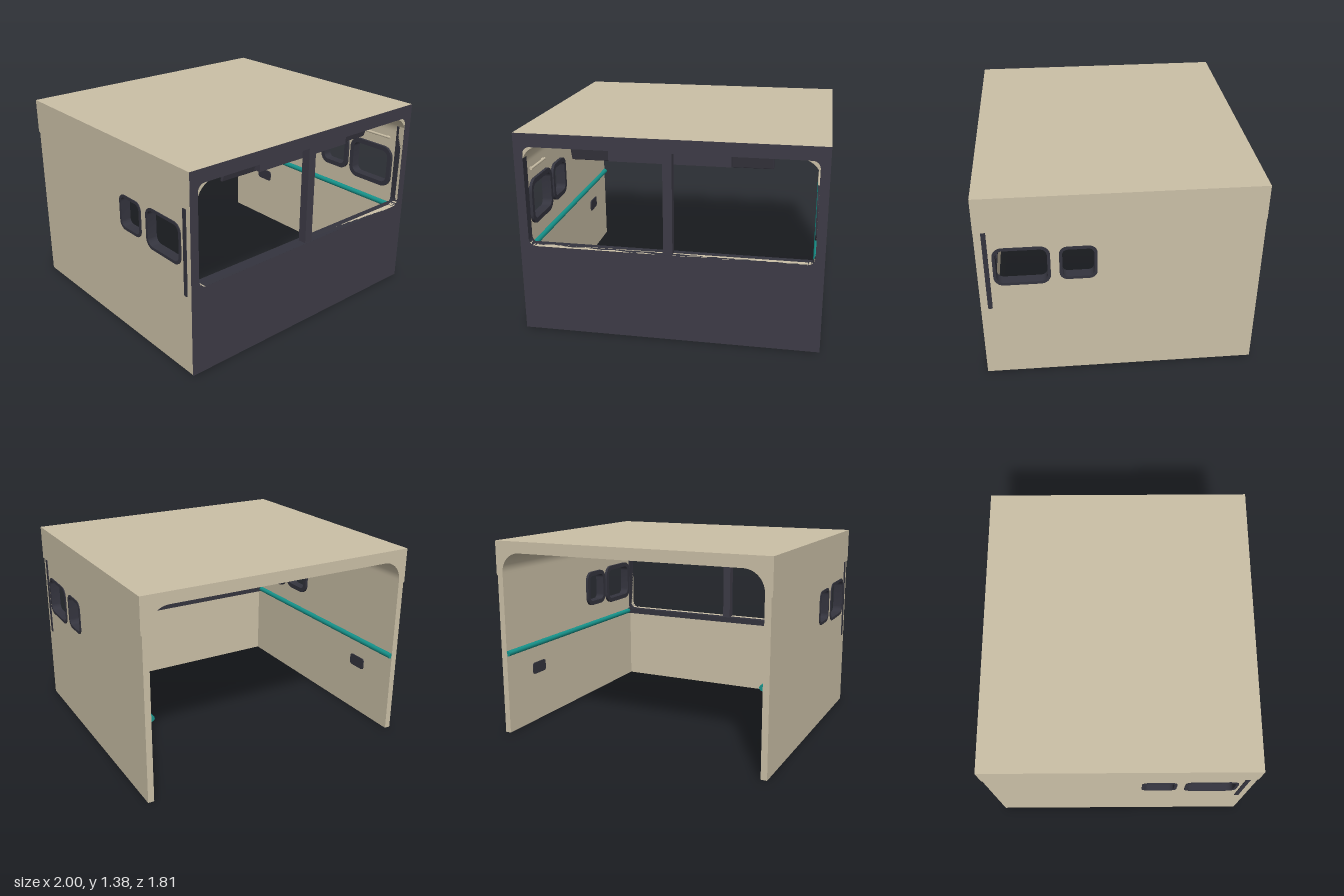
import * as THREE from 'three';
import { toCreasedNormals } from 'three/addons/utils/BufferGeometryUtils.js';
import { RoundedBoxGeometry } from 'three/addons/geometries/RoundedBoxGeometry.js';

const mat = (name, color) => {
  const m = new THREE.MeshStandardMaterial({ color });
  m.name = name;
  return m;
};
const beige = mat('beige shell', 0xcabfa6);
const slate = mat('slate front', 0x3d3b46);
const trim = mat('dark trim', 0x34343e);
const teal = mat('teal rail', 0x16938b);

// Rounded rectangle from its limits, as a Shape or a hole Path
function rounded(a0, a1, b0, b1, r, Type = THREE.Shape) {
  const p = new Type();
  p.moveTo(a0 + r, b0);
  p.lineTo(a1 - r, b0);
  p.absarc(a1 - r, b0 + r, r, -Math.PI / 2, 0);
  p.absarc(a1 - r, b1 - r, r, 0, Math.PI / 2);
  p.absarc(a0 + r, b1 - r, r, Math.PI / 2, Math.PI);
  p.absarc(a0 + r, b0 + r, r, Math.PI, Math.PI * 1.5);
  return p;
}

function rect(a0, a1, b0, b1) {
  return new THREE.Shape([[a0, b0], [a1, b0], [a1, b1], [a0, b1]].map(([a, b]) => new THREE.Vector2(a, b)));
}

function withHoles(shape, ...holes) {
  shape.holes.push(...holes);
  return shape;
}

function extrude(shape, depth, curveSegments = 6) {
  return toCreasedNormals(new THREE.ExtrudeGeometry(shape, { depth, bevelEnabled: false, curveSegments }), 0.6);
}

export function createModel() {
  const model = new THREE.Group();
  model.name = 'cabShell';

  const add = (name, geometry, material, x = 0, y = 0, z = 0) => {
    const m = new THREE.Mesh(geometry, material);
    m.name = name;
    m.position.set(x, y, z);
    model.add(m);
    return m;
  };
  const box = (name, material, x0, x1, y0, y1, z0, z1) =>
    add(name, new THREE.BoxGeometry(x1 - x0, y1 - y0, z1 - z0), material, (x0 + x1) / 2, (y0 + y1) / 2, (z0 + z1) / 2);
  // Extrudes an outline drawn in (z, y) between two distances from the centre
  const sideSlab = (name, shape, material, inner, outer, side) => {
    const m = add(name, extrude(shape, outer - inner), material, side > 0 ? outer : -inner);
    m.rotation.y = -Math.PI / 2;
  };

  // Roof with coved inner corners
  const roof = new THREE.Shape();
  roof.moveTo(-1, 1.14);
  roof.lineTo(-0.95, 1.14);
  roof.lineTo(-0.95, 1.16);
  roof.absarc(-0.81, 1.16, 0.14, Math.PI, Math.PI / 2, true);
  roof.absarc(0.81, 1.16, 0.14, Math.PI / 2, 0, true);
  roof.lineTo(0.95, 1.14);
  roof.lineTo(1, 1.14);
  roof.lineTo(1, 1.38);
  roof.lineTo(-1, 1.38);
  add('roof', extrude(roof, 1.809, 12), beige, 0, 0, -0.905);

  // Front wall, painted face and windscreen frame
  const screen = [-0.94, 0.94, 0.61, 1.29, 0.05];
  add('frontWall', extrude(withHoles(rect(-0.96, 0.96, 0, 1.32), rounded(...screen, THREE.Path)), 0.044), beige, 0, 0, 0.86);
  add('frontPanel', new THREE.ShapeGeometry(withHoles(rect(-1, 1, 0, 1.38), rounded(...screen, THREE.Path))), slate, 0, 0, 0.9055);
  add('windscreenFrame', extrude(withHoles(rounded(-0.955, 0.955, 0.57, 1.305, 0.06), rounded(...screen, THREE.Path)), 0.065), trim, 0, 0, 0.84);
  box('windscreenSill', trim, -0.95, 0.95, 0.565, 0.609, 0.815, 0.86);
  box('windscreenPillar', slate, -0.03, 0.03, 0.6, 1.3, 0.84, 0.9);

  // Side windows: z limits, y limits, corner radius
  const windows = [
    [0.445, 0.805, 0.733, 1.017, 0.065],
    [0.15, 0.39, 0.757, 1.005, 0.055],
  ];
  const grow = ([a, b, c, d, r], g) => [a - g, b + g, c - g, d + g, r + g];

  for (const side of [1, -1]) {
    const wall = withHoles(rect(-0.905, 0.904, 0, 1.145),
      ...windows.map((w) => rounded(...grow(w, -0.008), THREE.Path)));
    sideSlab('sideWall', wall, beige, 0.95, 0.992, side);

    for (const w of windows) {
      const opening = () => rounded(...grow(w, -0.02), THREE.Path);
      sideSlab('windowFrame', withHoles(rounded(...w), opening()), trim, 0.932, 0.998, side);
      sideSlab('windowInnerFlange', withHoles(rounded(...grow(w, 0.014)), opening()), trim, 0.93, 0.952, side);
    }

    // Vertical outer channel
    sideSlab('sideChannel', rounded(0.828, 0.858, 0.55, 1.14, 0.01), trim, 0.98, 0.997, side);

    // Interior rail, grab handle and recess plate
    const rail = add('sideRail', new THREE.CylinderGeometry(0.02, 0.02, 1.74, 12), teal, side * 0.945, 0.585, -0.03);
    rail.rotation.x = Math.PI / 2;
    const handle = add('grabHandle', new THREE.CylinderGeometry(0.009, 0.009, 0.25, 10), beige, side * 0.936, 1.11, 0.665);
    handle.rotation.x = Math.PI / 2;
    for (const z of [0.56, 0.77]) box('handleMount', beige, side * 0.945 - 0.01, side * 0.945 + 0.01, 1.103, 1.117, z - 0.01, z + 0.01);
    sideSlab('wallPlate', rounded(-0.615, -0.465, 0.36, 0.445, 0.02), trim, 0.942, 0.952, side);

    // Sun visor
    const visor = add('sunVisor', new RoundedBoxGeometry(0.355, 0.1, 0.02, 2, 0.008), slate, side * 0.477, 1.232, 0.78);
    visor.rotation.x = 0.35;
  }

  // Overhead console, tapering upward to the rear, with switches below
  const console = new THREE.Shape([[0.83, 1.2], [0.83, 1.302], [0.34, 1.302], [0.34, 1.27], [0.55, 1.2]]
    .map(([z, y]) => new THREE.Vector2(z, y)));
  sideSlab('overheadConsole', console, slate, -0.395, 0.395, 1);
  for (const x of [-0.21, -0.1, 0.1, 0.21]) {
    add('consoleSwitch', new THREE.CylinderGeometry(0.009, 0.009, 0.016, 10), trim, x, 1.195, 0.68);
  }

  // Ceiling ribs and round hatch
  for (const z of [-0.58, 0.22]) box('ceilingRib', beige, -0.8, 0.8, 1.288, 1.302, z - 0.015, z + 0.015);
  add('ceilingHatch', new THREE.CylinderGeometry(0.095, 0.088, 0.016, 32), beige, 0, 1.294, -0.16);

  return model;
}
